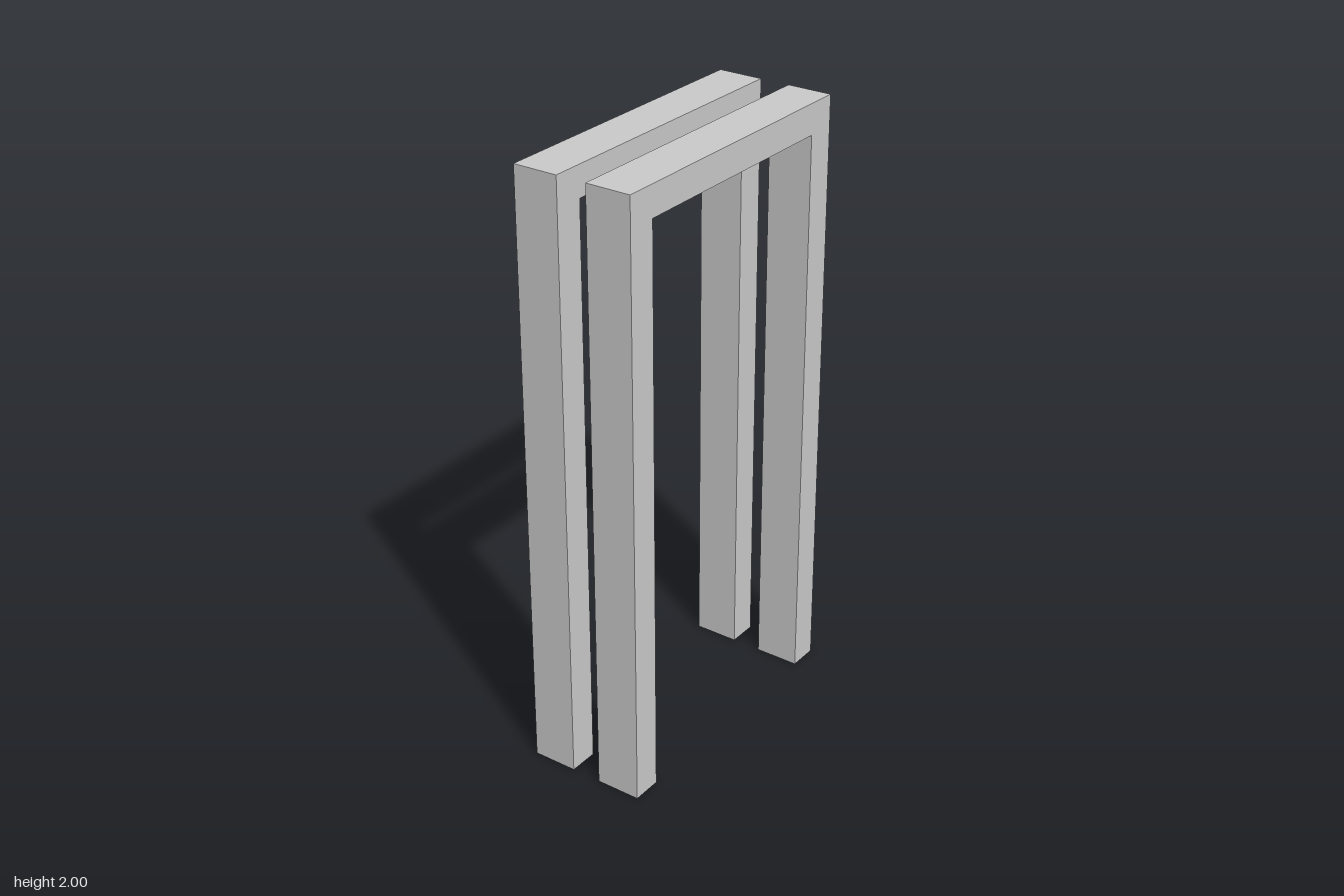
import * as THREE from 'three';

const WIDTH = 1, HEIGHT = 2, BAR = 0.1, DEPTH = 0.15, GAP = 0.1;

// U-shaped outline of one frame: two legs joined by a top bar
function frameGeometry() {
  const o = WIDTH / 2, i = o - BAR, h = HEIGHT - BAR;
  const outline = [[-o, 0], [-i, 0], [-i, h], [i, h], [i, 0], [o, 0], [o, HEIGHT], [-o, HEIGHT]];
  const shape = new THREE.Shape(outline.map(([x, y]) => new THREE.Vector2(x, y)));
  return new THREE.ExtrudeGeometry(shape, { depth: DEPTH, bevelEnabled: false })
    .translate(0, 0, -DEPTH / 2);
}

export function createModel() {
  const model = new THREE.Group();
  model.name = 'doubleDoorFrame';
  const material = new THREE.MeshStandardMaterial({ color: 0xcccccc });
  const geometry = frameGeometry();

  // Two matching frames, one on each side of the gap
  for (const [name, side] of [['frontFrame', 1], ['backFrame', -1]]) {
    const frame = new THREE.Mesh(geometry, material);
    frame.name = name;
    frame.position.z = side * (GAP + DEPTH) / 2;
    model.add(frame);
  }
  return model;
}
